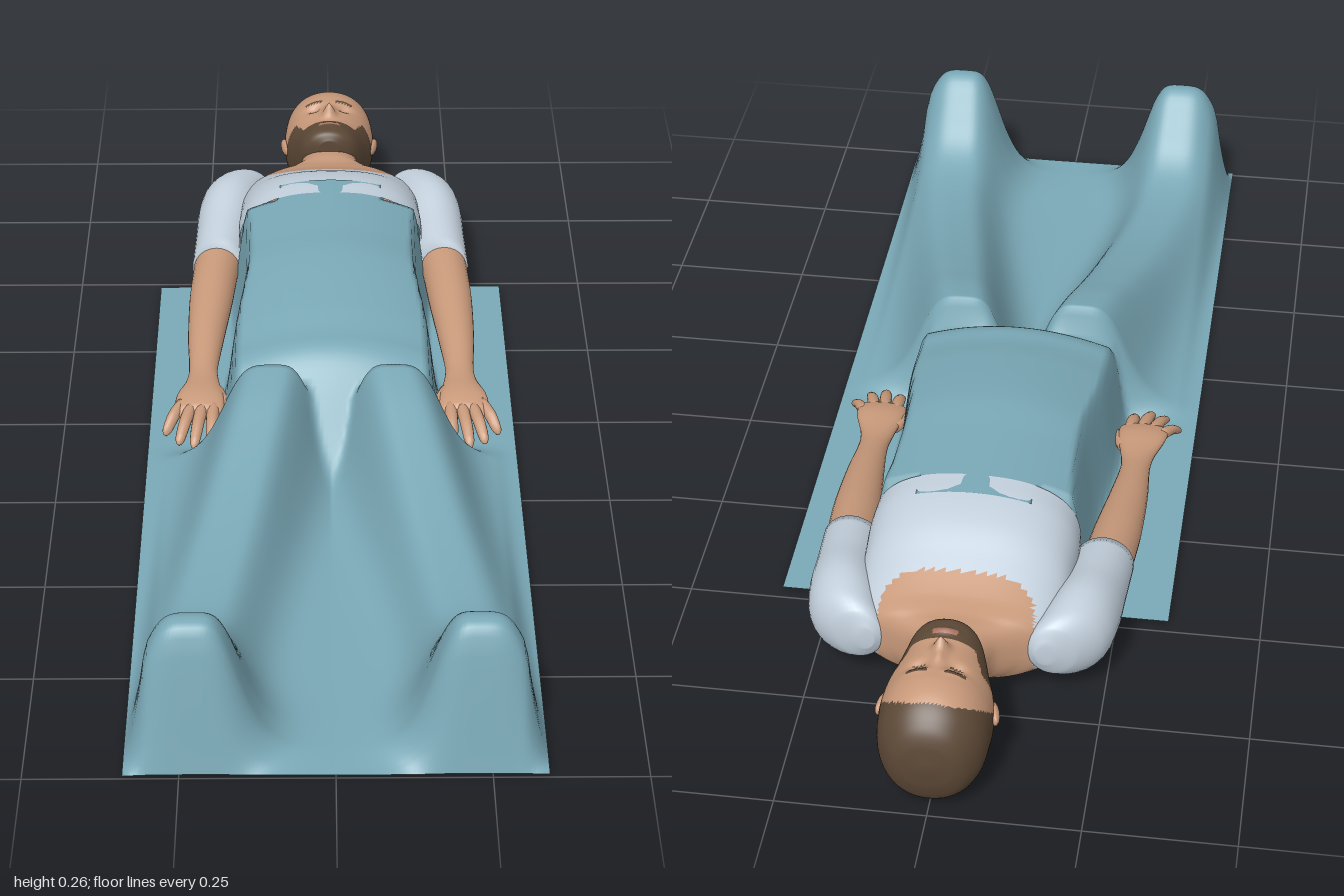
import * as THREE from 'three';

const mat = (name, color, side = THREE.FrontSide) => {
  const m = new THREE.MeshStandardMaterial({ color, side });
  m.name = name;
  return m;
};
const smooth = THREE.MathUtils.smoothstep;

// Smooth interpolation through keys [z, a, b, ...]; returns [a, b, ...] at z
function track(keys, z) {
  const n = keys.length;
  let i = 0;
  while (i < n - 2 && z > keys[i + 1][0]) i++;
  const p = keys[i], q = keys[i + 1], o = keys[Math.max(i - 1, 0)], r = keys[Math.min(i + 2, n - 1)];
  const h = q[0] - p[0], t = THREE.MathUtils.clamp((z - p[0]) / h, 0, 1), t2 = t * t, t3 = t2 * t;
  return p.slice(1).map((v, k) => {
    const w = q[k + 1];
    const m0 = (w - o[k + 1]) / (q[0] - o[0]) * h, m1 = (r[k + 1] - v) / (r[0] - p[0]) * h;
    return v * (2 * t3 - 3 * t2 + 1) + m0 * (t3 - 2 * t2 + t) + w * (3 * t2 - 2 * t3) + m1 * (t3 - t2);
  });
}

// Loft of rounded cross-sections [z, cx, cy, rx, ry] along z.
// bump moves a vertex, pick(x, y, z) gives each face its material index (-1 leaves it out)
function loft(keys, { seg = 24, sub = 5, power = 2, capEnd = true, bump, pick } = {}) {
  const pos = [], tris = [], zs = [];
  for (let i = 0; i < keys.length - 1; i++)
    for (let s = 0; s < sub; s++) zs.push(keys[i][0] + (keys[i + 1][0] - keys[i][0]) * s / sub);
  zs.push(keys[keys.length - 1][0]);
  const bend = c => Math.sign(c) * Math.abs(c) ** (2 / power);
  for (const z of zs) {
    const [cx, cy, rx, ry] = track(keys, z);
    for (let j = 0; j < seg; j++) {
      const a = j / seg * Math.PI * 2;
      const p = [cx + rx * bend(Math.cos(a)), cy + ry * bend(Math.sin(a)), z];
      if (bump) bump(p);
      pos.push(...p);
    }
  }
  for (let i = 0; i < zs.length - 1; i++)
    for (let j = 0; j < seg; j++) {
      const a = i * seg + j, b = i * seg + (j + 1) % seg;
      tris.push([a, b, b + seg], [a, b + seg, a + seg]);
    }
  const last = (zs.length - 1) * seg;
  for (let j = 1; j < seg - 1; j++) {
    tris.push([0, j + 1, j]);
    if (capEnd) tris.push([last, last + j, last + j + 1]);
  }
  const geo = new THREE.BufferGeometry();
  geo.setAttribute('position', new THREE.Float32BufferAttribute(pos, 3));
  if (!pick) geo.setIndex(tris.flat());
  else {
    const buckets = [];
    for (const t of tris) {
      const m = pick(...[0, 1, 2].map(k => t.reduce((s, v) => s + pos[v * 3 + k], 0) / 3));
      if (m >= 0) (buckets[m] ??= []).push(...t);
    }
    const index = [];
    buckets.forEach((b, m) => {
      geo.addGroup(index.length, b.length, m);
      index.push(...b);
    });
    geo.setIndex(index);
  }
  geo.computeVertexNormals();
  return geo;
}

// Blanket height over the body
const trunkTop = [[-0.48, 0.257], [-0.3, 0.258], [-0.2, 0.26], [-0.05, 0.24], [0.03, 0.224], [0.1, 0.225], [0.3, 0.19]];
const trunkHalf = [[-0.48, 0.165], [-0.25, 0.152], [-0.05, 0.17], [0.3, 0.17]];
const legTop = [[0, 0.22], [0.1, 0.23], [0.2, 0.215], [0.3, 0.185], [0.4, 0.157], [0.5, 0.135], [0.6, 0.12], [0.7, 0.115],
  [0.76, 0.125], [0.81, 0.155], [0.86, 0.215], [0.895, 0.256], [0.925, 0.26], [0.945, 0.24], [0.97, 0.14], [1, 0.004]];
const legCentre = [[0, 0.09], [0.1, 0.1], [0.4, 0.155], [0.7, 0.21], [0.9, 0.225], [1, 0.225]];
function blanketHeight(x, z) {
  const ax = Math.abs(x);
  const [half] = track(trunkHalf, z);
  let trunk = track(trunkTop, z)[0] * (1 - 0.15 * (ax / 0.17) ** 2);
  if (z < -0.43 && ax > 0.105) trunk -= 0.035;
  trunk *= (1 - smooth(ax, half, half + 0.04)) * (1 - smooth(z, 0.04, 0.3));
  const d = ax - track(legCentre, z)[0];
  let leg = track(legTop, z)[0] / (1 + (d / (d > 0 ? 0.1 : 0.08)) ** 4);
  leg *= Math.min(1, Math.max(0, 0.342 - ax) / 0.04) * smooth(z, 0.08, 0.14);
  const k = 0.02, m = Math.max(k - Math.abs(trunk - leg), 0) / k;
  return 0.006 + (Math.max(trunk, leg) + m * m * k / 4 - 0.005) * 0.98;
}

export function createModel() {
  const cloth = mat('blanket teal', 0x7aa8b6, THREE.DoubleSide);
  const shirt = mat('shirt pale blue', 0xc3d0dc, THREE.DoubleSide);
  const skin = mat('skin', 0xc8997a, THREE.DoubleSide);
  const hair = mat('hair brown', 0x5c4836);
  const lip = mat('lip', 0xa9735f);
  const model = new THREE.Group();
  const add = (name, geo, m, parent = model) => {
    const mesh = new THREE.Mesh(geo, m);
    mesh.name = name;
    parent.add(mesh);
    return mesh;
  };

  // Blanket draped as a single sheet
  const sheet = new THREE.PlaneGeometry(0.68, 1.48, 96, 160).rotateX(-Math.PI / 2).translate(0, 0, 0.26);
  const sp = sheet.attributes.position;
  for (let i = 0; i < sp.count; i++) sp.setY(i, Math.max(0.003, blanketHeight(sp.getX(i), sp.getZ(i))));
  sheet.computeVertexNormals();
  add('blanket', sheet, cloth);

  // Sections given as [z, bottom, top, half width]
  const body = rows => rows.map(([z, b, t, w]) => [z, 0, (b + t) / 2, w, (t - b) / 2]);

  // Neck and chest, with a scooped neckline front and back
  add('torso', loft(body([
    [-0.83, 0.04, 0.15, 0.052], [-0.77, 0.05, 0.165, 0.06], [-0.73, 0.045, 0.171, 0.072], [-0.705, 0.035, 0.17, 0.11],
    [-0.69, 0.025, 0.172, 0.145], [-0.66, 0.012, 0.18, 0.172], [-0.6, 0.002, 0.208, 0.18], [-0.54, 0.001, 0.237, 0.18],
    [-0.48, 0.001, 0.251, 0.182], [-0.43, 0.001, 0.253, 0.18],
  ]), {
    seg: 72, sub: 7, power: 2.5, capEnd: false,
    pick: (x, y, z) => {
      const back = y < 0.06;
      if (back && z > -0.52 && Math.abs(x) < 0.13) return -1;
      if (z < -0.712) return 1;
      return (x / 0.132) ** 4 + ((z + 0.715) / (back ? 0.2 : 0.095)) ** 4 < 1 ? 1 : 0;
    },
  }), [shirt, skin]);

  // Head: face looks up, nose and eye sockets shaped by rule
  const blob = (p, x, z, rx, rz) => Math.exp(-(((Math.abs(p[0]) - x) / rx) ** 2) - ((p[2] - z) / rz) ** 2);
  add('head', loft(body([
    [-1, 0.09, 0.11, 0.012], [-0.995, 0.055, 0.145, 0.045], [-0.98, 0.02, 0.174, 0.068], [-0.95, 0.003, 0.2, 0.086],
    [-0.91, 0, 0.212, 0.092], [-0.87, 0.002, 0.209, 0.092], [-0.84, 0.012, 0.208, 0.086], [-0.815, 0.03, 0.208, 0.077],
    [-0.79, 0.06, 0.21, 0.068], [-0.77, 0.1, 0.211, 0.058], [-0.755, 0.13, 0.206, 0.043], [-0.747, 0.155, 0.192, 0.02],
  ]), {
    seg: 96, sub: 8, power: 2.15,
    bump: p => {
      if (p[1] < 0.14) return;
      p[1] += 0.026 * blob(p, 0, -0.832, 0.011, 0.012) + 0.012 * blob(p, 0, -0.853, 0.009, 0.017)
        + 0.005 * blob(p, 0, -0.79, 0.02, 0.007) - 0.01 * blob(p, 0.031, -0.868, 0.014, 0.01)
        + 0.004 * blob(p, 0.03, -0.885, 0.02, 0.006);
    },
    pick: (x, y, z) => {
      const ax = Math.abs(x);
      if (y > 0.15 && ax < 0.021 && Math.abs(z + 0.79) < 0.0055) return 2;
      if (y > 0.1 && (z > -0.806 || (z > -0.85 && ax > 0.052 + (-0.806 - z) * 0.4))) return 0;
      if (y > 0.15 && ax > 0.013 && ax < 0.047 && Math.abs(z + 0.886) < 0.004) return 0;
      if (y > 0.15 && ax > 0.02 && ax < 0.041 && Math.abs(z + 0.866) < 0.0018) return 0;
      return z < -0.8 && y < 0.128 + Math.max(0, -0.885 - z) ? 0 : z < -0.952 ? 0 : 1;
    },
  }), [hair, skin, lip]);

  // Ears, sleeves, arms and hands on both sides
  for (const s of [1, -1]) {
    const side = s > 0 ? 'left' : 'right';
    const limb = (rows, opts) => loft(rows.map(([z, x, ...r]) => [z, x * s, ...r]), opts);
    const ear = add(side + 'Ear', new THREE.SphereGeometry(1, 16, 12), skin);
    ear.scale.set(0.009, 0.015, 0.025);
    ear.position.set(0.091 * s, 0.112, -0.868);
    ear.rotation.y = -0.25 * s;
    add(side + 'Sleeve', limb([
      [-0.708, 0.15, 0.105, 0.015, 0.02], [-0.695, 0.165, 0.105, 0.045, 0.05], [-0.66, 0.188, 0.102, 0.062, 0.07],
      [-0.6, 0.203, 0.1, 0.062, 0.077], [-0.52, 0.213, 0.092, 0.056, 0.066], [-0.43, 0.221, 0.084, 0.052, 0.056],
    ], { seg: 32 }), shirt);
    const arm = new THREE.Group();
    arm.name = side + 'Arm';
    model.add(arm);
    add(side + 'Forearm', limb([
      [-0.46, 0.222, 0.083, 0.046, 0.048], [-0.4, 0.228, 0.078, 0.044, 0.045], [-0.32, 0.234, 0.07, 0.042, 0.041],
      [-0.2, 0.241, 0.056, 0.034, 0.032], [-0.11, 0.243, 0.048, 0.027, 0.021], [-0.07, 0.243, 0.047, 0.031, 0.018],
      [-0.02, 0.246, 0.049, 0.044, 0.016], [0.015, 0.247, 0.044, 0.045, 0.013], [0.03, 0.247, 0.038, 0.038, 0.008],
    ]), skin, arm);
    // Fingers as [base x, base z, tip x, tip z], thumb last
    [[0.28, 0, 0.309, 0.058], [0.262, 0.01, 0.283, 0.09], [0.242, 0.01, 0.255, 0.102], [0.221, 0.005, 0.224, 0.09],
      [0.215, -0.045, 0.18, 0.045]].forEach(([bx, bz, tx, tz], i) => {
      const at = (t, r) => [bz + (tz - bz) * t, bx + (tx - bx) * t, 0.045 - 0.03 * t * t, r, r];
      add(side + (i < 4 ? 'Finger' : 'Thumb'),
        limb([at(0, 0.012), at(0.5, 0.0115), at(0.85, 0.0095), at(0.96, 0.006), at(1, 0.001)], { seg: 12, sub: 3 }), skin, arm);
    });
  }
  return model;
}
